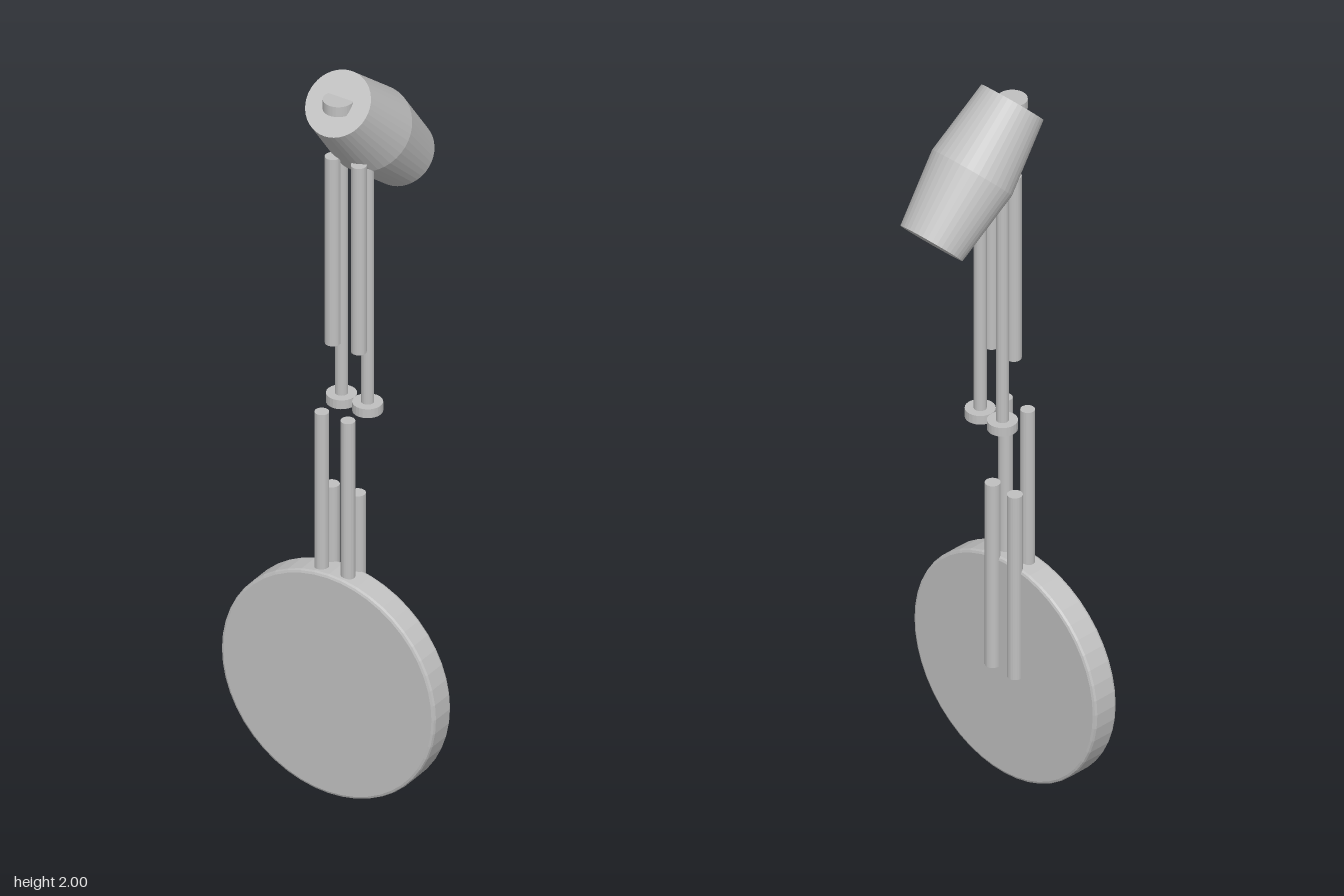
import * as THREE from 'three';

export function createModel() {
  const root = new THREE.Group();
  root.name = 'deskLamp';
  const grey = new THREE.MeshStandardMaterial({ color: 0xc0c0c0, flatShading: true });
  grey.name = 'grey';

  const add = (name, geometry, x, y, z, tilt = 0) => {
    const mesh = new THREE.Mesh(geometry, grey);
    mesh.name = name;
    mesh.position.set(x, y, z);
    mesh.rotation.x = tilt;
    root.add(mesh);
  };

  // Solid of revolution from [radius, height] pairs
  const turned = (points, sides) =>
    new THREE.LatheGeometry(points.map(([r, h]) => new THREE.Vector2(r, h)), sides);

  // Upright round disc base with softened rims
  const h = 0.038, r = 0.311, b = 0.008;
  add('base', turned([
    [0, -h], [r - b, -h], [r - b * 0.3, -h + b * 0.3], [r, -h + b],
    [r, h - b], [r - b * 0.3, h - b * 0.3], [r - b, h], [0, h],
  ], 48), 0, 0.312, 0.149, Math.PI / 2);

  // Paired arm rods: name, radius, bottom, top, z
  const rods = [
    ['lowerRearRod', 0.0195, 0.305, 0.833, 0.11],
    ['lowerFrontRod', 0.018, 0.53, 1.06, 0.154],
    ['rodFoot', 0.038, 1.045, 1.07, 0.067],
    ['upperRearRod', 0.016, 1.06, 1.78, 0.067],
    ['upperFrontRod', 0.0195, 1.232, 1.762, 0.106],
  ];
  for (const side of [-1, 1]) {
    for (const [name, radius, y0, y1, z] of rods) {
      add((side > 0 ? 'left_' : 'right_') + name,
        new THREE.CylinderGeometry(radius, radius, y1 - y0, 24),
        side * 0.038, (y0 + y1) / 2, z);
    }
  }

  // Barrel-shaped lamp head, tilted 45 degrees
  add('lampHead', turned([[0, -0.198], [0.087, -0.198], [0.112, 0], [0.087, 0.198], [0, 0.198]], 40),
    0, 1.801, 0, Math.PI / 4);

  // Switch disc half sunk into the upper end of the head
  add('switch', new THREE.CylinderGeometry(0.038, 0.038, 0.028, 32), 0, 1.939, 0.139);

  return root;
}
